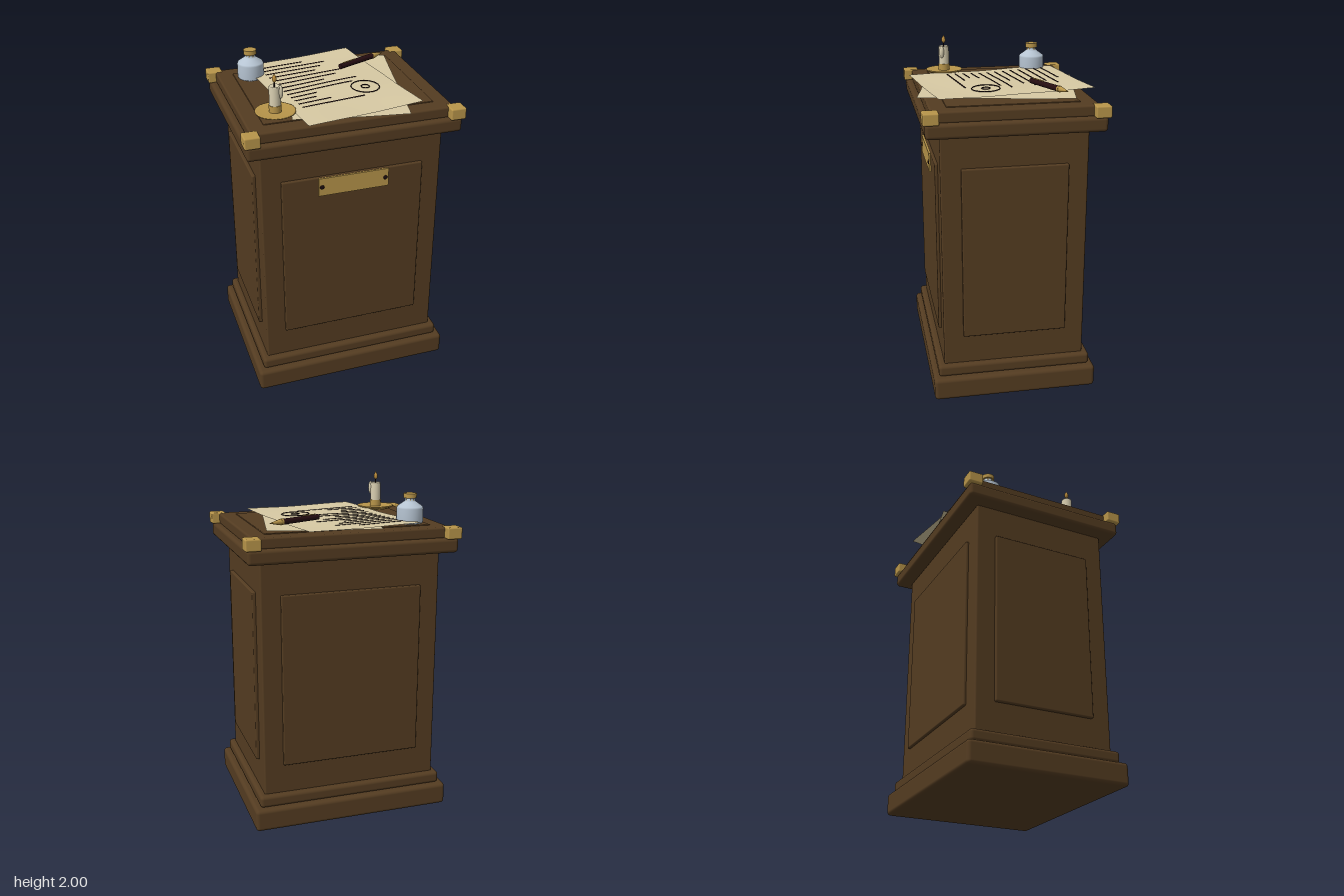
import * as THREE from 'three';
import { RoundedBoxGeometry } from 'three/addons/geometries/RoundedBoxGeometry.js';

const mat = (name, color, side = THREE.FrontSide) =>
  Object.assign(new THREE.MeshStandardMaterial({ color, side }), { name });

export function createModel() {
  const wood = mat('dark wood', 0x543c21);
  const brass = mat('brass', 0xb8954a);
  const paper = mat('parchment', 0xd8caa4, THREE.DoubleSide);
  const ink = mat('ink', 0x1a0a0d);
  const penBlack = mat('pen lacquer', 0x260d11);
  const glass = mat('pale glass', 0xb6c4d2);
  const wax = mat('wax', 0xd8ceb0);
  const flameMat = mat('flame', 0xba8c3e);

  const model = new THREE.Group();
  model.name = 'lectern';

  const add = (parent, name, geo, material, x = 0, y = 0, z = 0) => {
    const mesh = new THREE.Mesh(geo, material);
    mesh.name = name;
    mesh.position.set(x, y, z);
    parent.add(mesh);
    return mesh;
  };
  const group = (name, x, y, z, turn = 0) => {
    const g = new THREE.Group();
    g.name = name;
    g.position.set(x, y, z);
    g.rotation.y = turn;
    model.add(g);
    return g;
  };
  const lathe = (points, sides = 32) =>
    new THREE.LatheGeometry(points.map(([r, y]) => new THREE.Vector2(r, y)), sides);

  // Stacked cabinet: half width, half depth, bottom, top, edge radius
  const slabs = [
    ['plinth', 0.605, 0.487, 0.005, 0.14, 0.022],
    ['plinthMoulding', 0.57, 0.457, 0.14, 0.212, 0.02],
    ['body', 0.536, 0.42, 0.205, 1.61, 0.01],
    ['topSlab', 0.62, 0.503, 1.61, 1.695, 0.02],
    ['deskTop', 0.585, 0.468, 1.69, 1.755, 0.012],
    ['deskInset', 0.493, 0.374, 1.74, 1.76, 0.004],
  ];
  for (const [name, hx, hz, y0, y1, r] of slabs) {
    add(model, name, new RoundedBoxGeometry(hx * 2, y1 - y0, hz * 2, 3, r), wood, 0, (y0 + y1) / 2, 0);
  }

  // Raised panels on all four sides, and brass corner caps
  for (const s of [-1, 1]) {
    add(model, 'facePanel', new RoundedBoxGeometry(0.84, 1.03, 0.04, 2, 0.008), wood, 0, 0.903, s * 0.417);
    add(model, 'sidePanel', new RoundedBoxGeometry(0.04, 1.03, 0.61, 2, 0.008), wood, s * 0.536, 0.903, 0);
    for (const t of [-1, 1]) {
      add(model, 'cornerCap', new RoundedBoxGeometry(0.09, 0.068, 0.09, 2, 0.009), brass, s * 0.588, 1.725, t * 0.472);
    }
  }

  // Blank plaque with two rivets
  add(model, 'plaque', new THREE.BoxGeometry(0.416, 0.11, 0.012), brass, 0, 1.36, 0.441);
  for (const s of [-1, 1]) {
    const rivet = add(model, 'plaqueRivet', new THREE.SphereGeometry(0.013, 12, 8), ink, s * 0.189, 1.36, 0.447);
    rivet.scale.z = 0.5;
  }

  // Gently rippled sheets
  const ripple = (u, v) => 0.0025 * Math.sin(u * 9 + 1) * Math.cos(v * 7) + 0.0015 * Math.sin(v * 13 + u * 5);
  const drape = (geo, du = 0, dv = 0, amount = 1) => {
    const p = geo.attributes.position;
    for (let i = 0; i < p.count; i++) {
      p.setY(i, p.getY(i) + amount * ripple(p.getX(i) + du, p.getZ(i) + dv));
    }
    geo.computeVertexNormals();
    return geo;
  };
  const sheet = (w, d, amount) => drape(new THREE.PlaneGeometry(w, d, 20, 26).rotateX(-Math.PI / 2), 0, 0, amount);

  const lower = group('lowerSheet', 0.07, 1.768, 0.015, -0.198);
  add(lower, 'lowerPaper', sheet(0.65, 0.887, 0.8), paper);
  const upper = group('upperSheet', 0, 1.779, -0.006, 0.15);
  add(upper, 'upperPaper', sheet(0.705, 0.934, 1), paper);

  // Ruled strokes following the ripples
  const strokes = [0.284, 0.41, 0.357, 0.3, 0.45, 0.383, 0.28, 0.47, 0.415, 0.16, 0.134, 0.2, 0.387];
  strokes.forEach((length, i) => {
    const u = -0.283 + length / 2;
    const v = -0.378 + i * 0.0516;
    const geo = drape(new THREE.BoxGeometry(length, 0.002, 0.008, 16, 1, 1), u, v);
    add(upper, 'inkStroke', geo, ink, u, 0.0015, v);
  });

  // Seal of two drawn rings
  for (const [r, sides] of [[0.083, 16], [0.024, 12]]) {
    const ring = new THREE.TorusGeometry(r, 0.003, 6, sides).rotateX(Math.PI / 2);
    add(upper, 'sealRing', drape(ring, 0.164, 0.137), ink, 0.164, 0.0015, 0.137);
  }

  // Pen lying along its own x axis
  const pen = group('pen', 0.286, 1.804, -0.245, 0.41);
  const rod = (name, r0, r1, x0, x1, material) =>
    add(pen, name, new THREE.CylinderGeometry(r1, r0, x1 - x0, 16).rotateZ(-Math.PI / 2), material, (x0 + x1) / 2);
  rod('penBarrel', 0.016, 0.017, -0.175, 0.09, penBlack);
  rod('penCollar', 0.0185, 0.0185, 0.086, 0.1, brass);
  rod('penGrip', 0.017, 0.012, 0.1, 0.128, brass);
  rod('penNib', 0.012, 0.001, 0.128, 0.176, brass);
  add(pen, 'penClip', new THREE.BoxGeometry(0.1, 0.005, 0.006), brass, -0.105, 0.0175, 0);

  // Candle on a brass dish
  const candle = group('candle', -0.4, 0, 0.275);
  add(candle, 'candleDish', lathe([[0, 1.765], [0.08, 1.765], [0.113, 1.781], [0.113, 1.787], [0.105, 1.788],
    [0.07, 1.782], [0, 1.782]]), brass);
  add(candle, 'candleSocket', new THREE.CylinderGeometry(0.035, 0.035, 0.042, 24), brass, 0, 1.8, 0);
  add(candle, 'candleStick', lathe([[0.032, 1.81], [0.032, 1.925], [0.028, 1.931], [0.018, 1.926], [0, 1.924]], 24), wax);
  const drip = add(candle, 'waxDrip', new THREE.SphereGeometry(0.015, 12, 10), wax, 0.028, 1.897, 0.016);
  drip.scale.y = 2.6;
  add(candle, 'wick', new THREE.CylinderGeometry(0.004, 0.004, 0.036, 8), ink, 0, 1.94, 0);
  add(candle, 'candleFlame', lathe([[0, 1.946], [0.009, 1.955], [0.013, 1.966], [0.01, 1.982], [0, 2.0]], 12), flameMat);

  // Ink bottle with brass stopper
  const bottle = group('inkBottle', -0.4, 0, -0.288);
  add(bottle, 'bottleGlass', lathe([[0, 1.762], [0.074, 1.762], [0.078, 1.77], [0.078, 1.848], [0.074, 1.858],
    [0.035, 1.886], [0.029, 1.892], [0.029, 1.905], [0, 1.905]]), glass);
  add(bottle, 'stopperNeck', new THREE.CylinderGeometry(0.029, 0.029, 0.022, 24), brass, 0, 1.9, 0);
  add(bottle, 'stopperCap', new THREE.CylinderGeometry(0.038, 0.038, 0.026, 24), brass, 0, 1.92, 0);

  return model;
}
